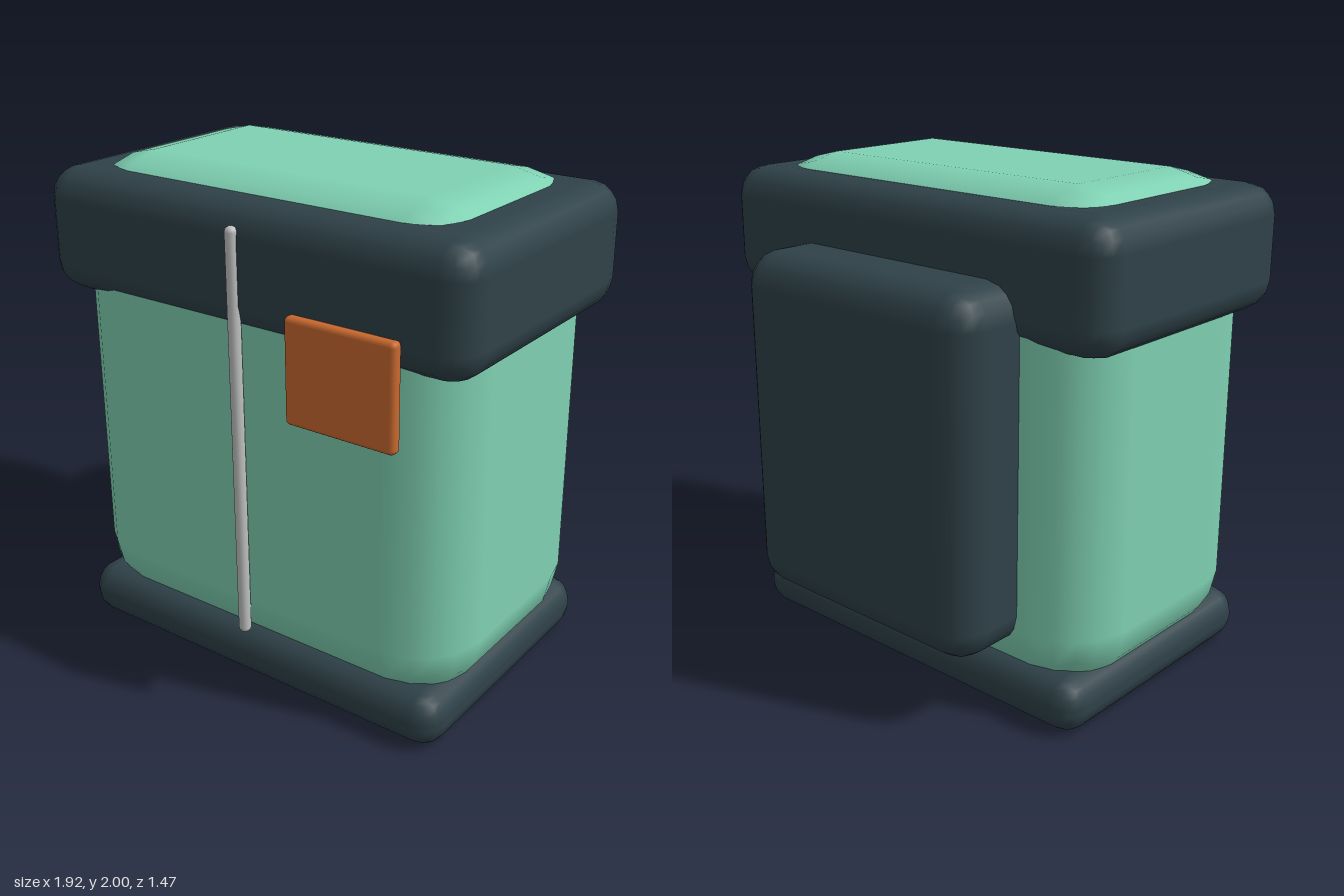
import * as THREE from 'three';
import { RoundedBoxGeometry } from 'three/addons/geometries/RoundedBoxGeometry.js';

const colour = (name, color) => {
  const material = new THREE.MeshStandardMaterial({ color });
  material.name = name;
  return material;
};

// Rounded box given by its extent on each axis
function roundedPart(name, material, [x0, x1], [y0, y1], [z0, z1], radius, segments = 2) {
  const geometry = new RoundedBoxGeometry(x1 - x0, y1 - y0, z1 - z0, segments, radius);
  const mesh = new THREE.Mesh(geometry, material);
  mesh.name = name;
  mesh.position.set((x0 + x1) / 2, (y0 + y1) / 2, (z0 + z1) / 2);
  return mesh;
}

export function createModel() {
  const mint = colour('mint', 0x7fd1b3);
  const slate = colour('dark slate', 0x2f4249);
  const orange = colour('orange', 0xc9692f);
  const silver = colour('silver', 0xbfc1c0);

  const model = new THREE.Group();
  model.name = 'bag';
  model.add(
    // Main body, bulging through the top of the rim
    roundedPart('body', mint, [-0.89, 0.89], [0.09, 2.0], [-0.44, 0.66], 0.27),
    roundedPart('rim', slate, [-0.96, 0.96], [1.455, 1.945], [-0.465, 0.685], 0.12),
    roundedPart('base', slate, [-0.875, 0.875], [0, 0.22], [-0.465, 0.69], 0.1),
    // Pocket on the back
    roundedPart('backPocket', slate, [-0.59, 0.59], [0.29, 1.69], [-0.735, -0.25], 0.135),
    // Front trim
    roundedPart('zipStrip', silver, [-0.024, 0.024], [0.22, 1.865], [0.658, 0.705], 0.022),
    roundedPart('patch', orange, [0.26, 0.72], [1.2, 1.605], [0.685, 0.735], 0.02),
  );
  return model;
}
